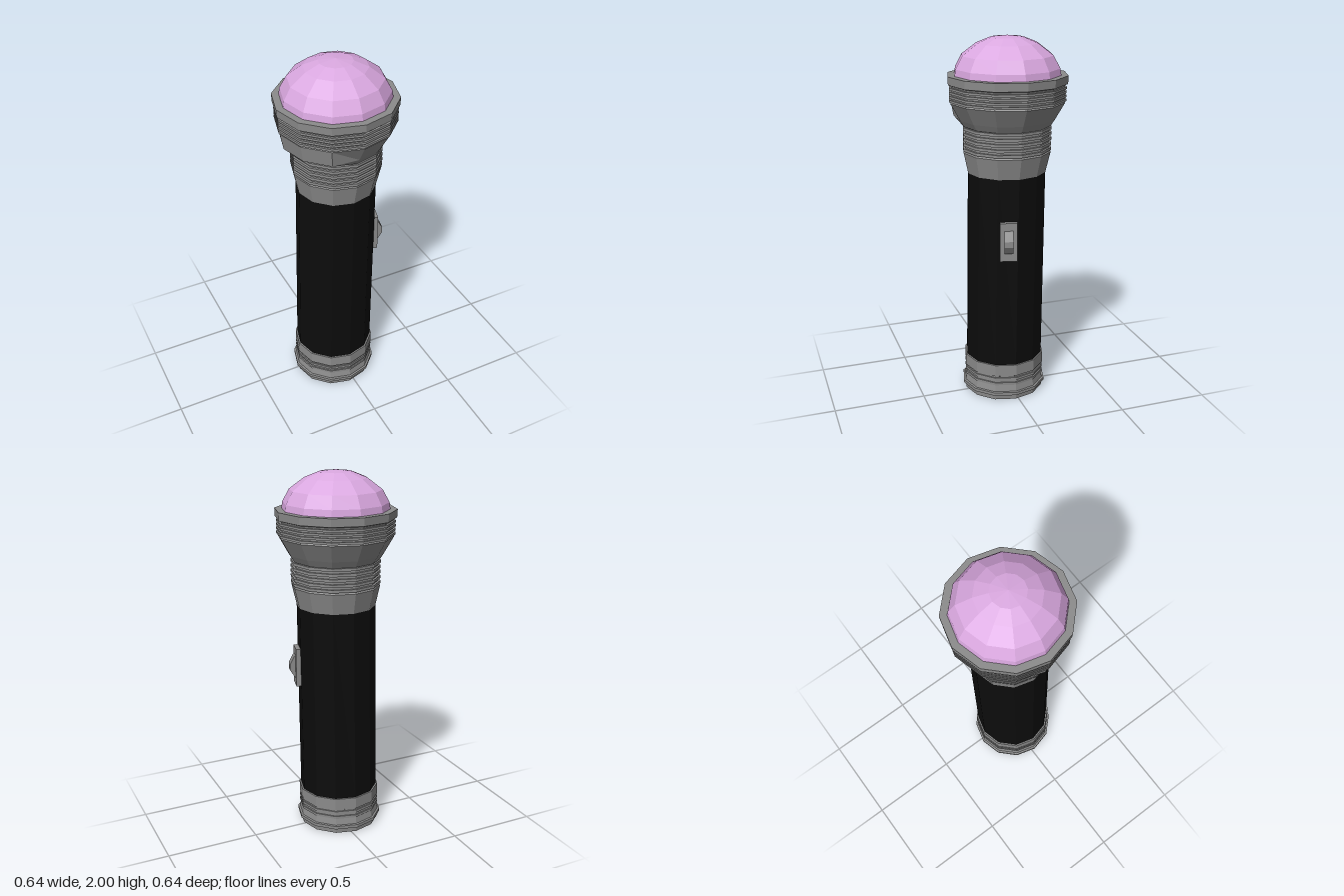
import * as THREE from 'three';

const SIDES = 12;

function material(name, color) {
  const m = new THREE.MeshStandardMaterial({ color });
  m.name = name;
  return m;
}

// Faceted normals for the low-poly look
function faceted(geo) {
  const g = geo.index ? geo.toNonIndexed() : geo;
  g.computeVertexNormals();
  return g;
}

// The torch leans slightly: its axis drifts towards -x and +z near the base
function lean(geo) {
  const p = geo.attributes.position;
  for (let i = 0; i < p.count; i++) {
    const y = p.getY(i);
    p.setX(i, p.getX(i) - 0.028 * Math.max(0, 1 - y / 1.45));
    p.setZ(i, p.getZ(i) + 0.016 * Math.max(0, 1 - y / 1.8));
  }
  return geo;
}

function turned(name, profile, mat, shape) {
  const geo = new THREE.LatheGeometry(profile.map(([r, y]) => new THREE.Vector2(r, y)), SIDES);
  if (shape) shape(geo.attributes.position);
  const mesh = new THREE.Mesh(faceted(lean(geo)), mat);
  mesh.name = name;
  return mesh;
}

// Square-edged ribs: each step goes out to rOut for `thick`, then back to rIn
function ribs(y, count, pitch, thick, rIn, rOut) {
  const pts = [];
  for (let i = 0; i < count; i++) {
    const y0 = y + i * pitch;
    pts.push([rIn, y0], [rOut, y0], [rOut, y0 + thick], [rIn, y0 + thick]);
  }
  return pts;
}

export function createModel() {
  const group = new THREE.Group();
  group.name = 'flashlight';
  const grey = material('grey metal', 0x8c8c8c);
  const black = material('black grip', 0x0c0c0c);
  const pink = material('pink lens', 0xdaa8e0);

  // End cap with a foot ring and fine ribs
  group.add(turned('endCap', [
    [0, 0], [0.224, 0], [0.226, 0.03],
    [0.238, 0.03], [0.238, 0.048], [0.227, 0.05],
    ...ribs(0.09, 2, 0.03, 0.015, 0.219, 0.226),
    [0.219, 0.143], [0.226, 0.147], [0.226, 0.213], [0.2, 0.213],
  ], grey));

  // Handle
  group.add(turned('handle', [[0.217, 0.2], [0.2125, 1.29]], black));

  // Neck and flared head
  group.add(turned('head', [
    [0.2, 1.283], [0.213, 1.283], [0.238, 1.395],
    ...ribs(1.405, 5, 0.028, 0.015, 0.228, 0.24),
    [0.235, 1.535], [0.257, 1.57], [0.308, 1.66],
    ...ribs(1.668, 4, 0.021, 0.012, 0.303, 0.314),
    [0.306, 1.752], [0.32, 1.757], [0.322, 1.8], [0.26, 1.8],
  ], grey, (p) => {
    // Bulge on the lower flare, towards the front right
    for (let i = 0; i < p.count; i++) {
      if (Math.abs(p.getY(i) - 1.57) > 0.002) continue;
      const a = Math.atan2(p.getZ(i), p.getX(i)) * 180 / Math.PI;
      if (Math.abs(a) > 179 || (a > 115 && a < 155)) {
        p.setX(i, p.getX(i) * 1.13);
        p.setZ(i, p.getZ(i) * 1.13);
      }
    }
  }));

  // Domed lens
  group.add(turned('lens', [
    [0.285, 1.795], [0.279, 1.835], [0.243, 1.9], [0.163, 1.96], [0.088, 1.99], [0, 2],
  ], pink));

  // Slide switch, sitting on one facet of the handle
  const slider = new THREE.Group();
  slider.name = 'switch';
  slider.position.set(0.19, 0.947, 0.058);
  slider.rotation.y = -Math.PI / 12;
  const plate = new THREE.Mesh(new THREE.BoxGeometry(0.032, 0.212, 0.092), grey);
  plate.name = 'switchPlate';
  plate.position.x = 0.011;
  const outline = new THREE.Shape([
    [0.02, -0.068], [0.034, -0.056], [0.058, -0.018], [0.058, 0.014], [0.034, 0.06], [0.02, 0.068],
  ].map(([x, y]) => new THREE.Vector2(x, y)));
  const buttonGeo = new THREE.ExtrudeGeometry(outline, { depth: 0.048, bevelEnabled: false });
  buttonGeo.translate(0, 0, -0.024);
  const button = new THREE.Mesh(buttonGeo, grey);
  button.name = 'switchButton';
  slider.add(plate, button);
  group.add(slider);

  return group;
}
